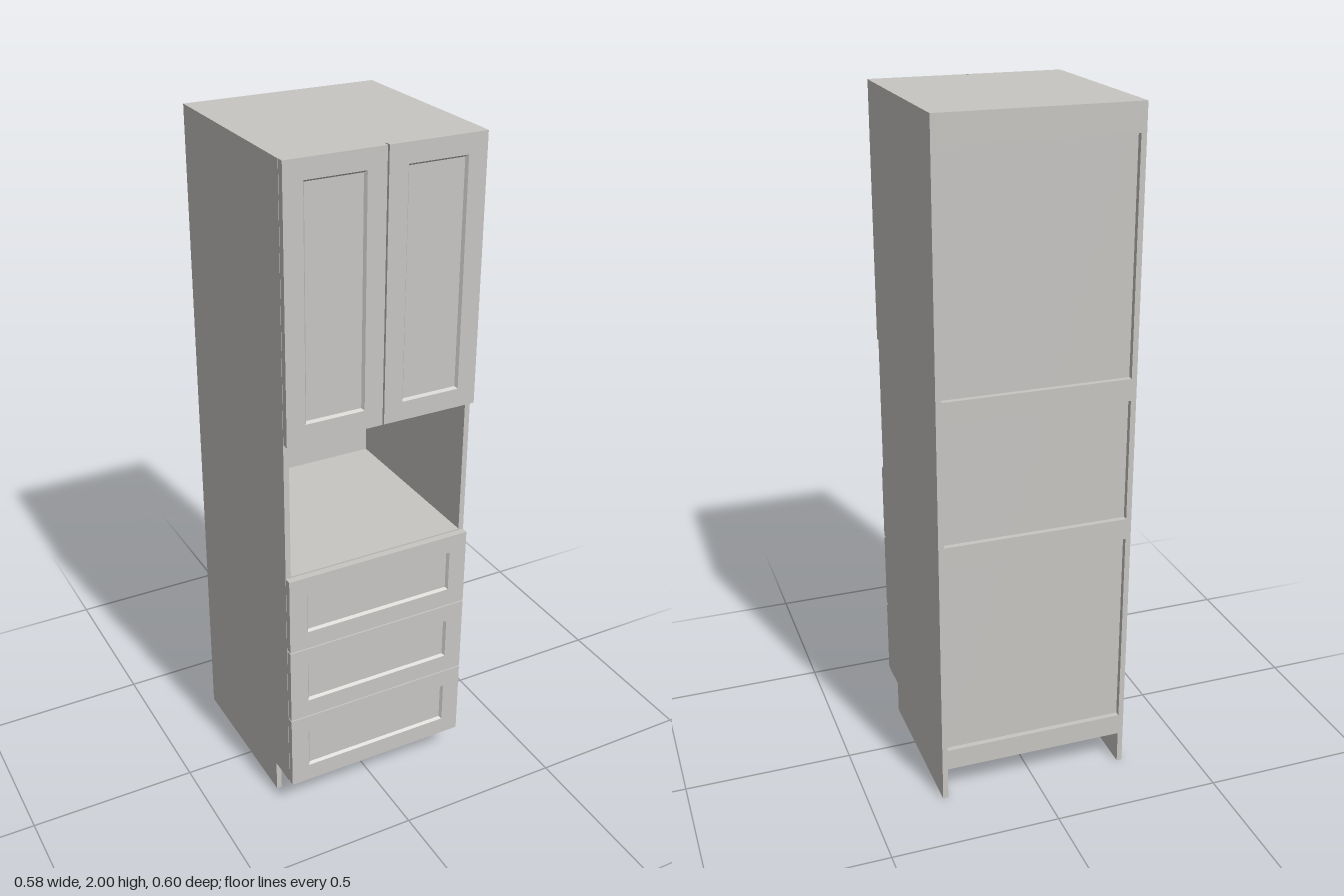
import * as THREE from 'three';

const paint = new THREE.MeshStandardMaterial({ color: 0xc8c6c3 });
paint.name = 'warm grey paint';

const W = 0.288, T = 0.016, BACK = -0.3, CARCASS = 0.28, FRONT = 0.3;

function add(group, name, geometry) {
  const mesh = new THREE.Mesh(geometry, paint);
  mesh.name = name;
  group.add(mesh);
  return mesh;
}

// Box given by its limits on each axis
function board(group, name, x0, x1, y0, y1, z0, z1) {
  const mesh = add(group, name, new THREE.BoxGeometry(x1 - x0, y1 - y0, z1 - z0));
  mesh.position.set((x0 + x1) / 2, (y0 + y1) / 2, (z0 + z1) / 2);
}

// Door or drawer front: rectangular loops from the back edge to the sunken panel
function panelFront(group, name, x0, x1, y0, y1, border) {
  const loops = [[0, CARCASS], [0, FRONT], [border, FRONT], [border + 0.006, FRONT - 0.008]]
    .map(([i, z]) => [
      [x0 + i, y0 + i, z], [x1 - i, y0 + i, z], [x1 - i, y1 - i, z], [x0 + i, y1 - i, z],
    ]);
  const points = [];
  const quad = (a, b, c, d) => points.push(...a, ...b, ...c, ...a, ...c, ...d);
  for (let k = 0; k < loops.length - 1; k++) {
    for (let j = 0; j < 4; j++) {
      const n = (j + 1) % 4;
      quad(loops[k][j], loops[k][n], loops[k + 1][n], loops[k + 1][j]);
    }
  }
  quad(...loops[loops.length - 1]);
  quad(...[...loops[0]].reverse());
  const geometry = new THREE.BufferGeometry();
  geometry.setAttribute('position', new THREE.Float32BufferAttribute(points, 3));
  geometry.computeVertexNormals();
  add(group, name, geometry);
}

export function createModel() {
  const cabinet = new THREE.Group();
  cabinet.name = 'tallCabinet';
  const inner = W - T;

  // Side panels with the toe notch; shape x is -z
  const profile = new THREE.Shape([
    [-0.19, 0], [-BACK, 0], [-BACK, 2], [-CARCASS, 2], [-CARCASS, 0.1], [-0.19, 0.1],
  ].map(([x, y]) => new THREE.Vector2(x, y)));
  for (const [name, x] of [['leftSide', inner], ['rightSide', -W]]) {
    const side = add(cabinet, name,
      new THREE.ExtrudeGeometry(profile, { depth: T, bevelEnabled: false }));
    side.rotation.y = Math.PI / 2;
    side.position.x = x;
  }

  // Horizontal boards
  board(cabinet, 'bottom', -inner, inner, 0.1, 0.116, BACK + T, CARCASS);
  board(cabinet, 'nicheFloor', -inner, inner, 0.812, 0.828, BACK + T, CARCASS);
  board(cabinet, 'nicheCeiling', -inner, inner, 1.238, 1.254, BACK + T, CARCASS);
  board(cabinet, 'top', -inner, inner, 2 - T, 2, BACK, CARCASS);

  // Recessed back with flush rails across it
  board(cabinet, 'backPanel', -inner, inner, 0.116, 2 - T, BACK + T, BACK + T + 0.008);
  for (const [y0, y1] of [[0.1, 0.165], [0.765, 0.828], [1.19, 1.254], [1.92, 2 - T]]) {
    board(cabinet, 'backRail', -inner, inner, y0, y1, BACK, BACK + T);
  }

  // Pair of doors
  panelFront(cabinet, 'leftDoor', 0.0025, W - 0.001, 1.242, 2, 0.055);
  panelFront(cabinet, 'rightDoor', -W + 0.001, -0.0025, 1.242, 2, 0.055);

  // Three drawer fronts
  for (let i = 0; i < 3; i++) {
    const y = 0.1 + i * 0.2425;
    panelFront(cabinet, 'drawerFront', -W + 0.001, W - 0.001, y, y + 0.2385, 0.055);
  }

  return cabinet;
}
